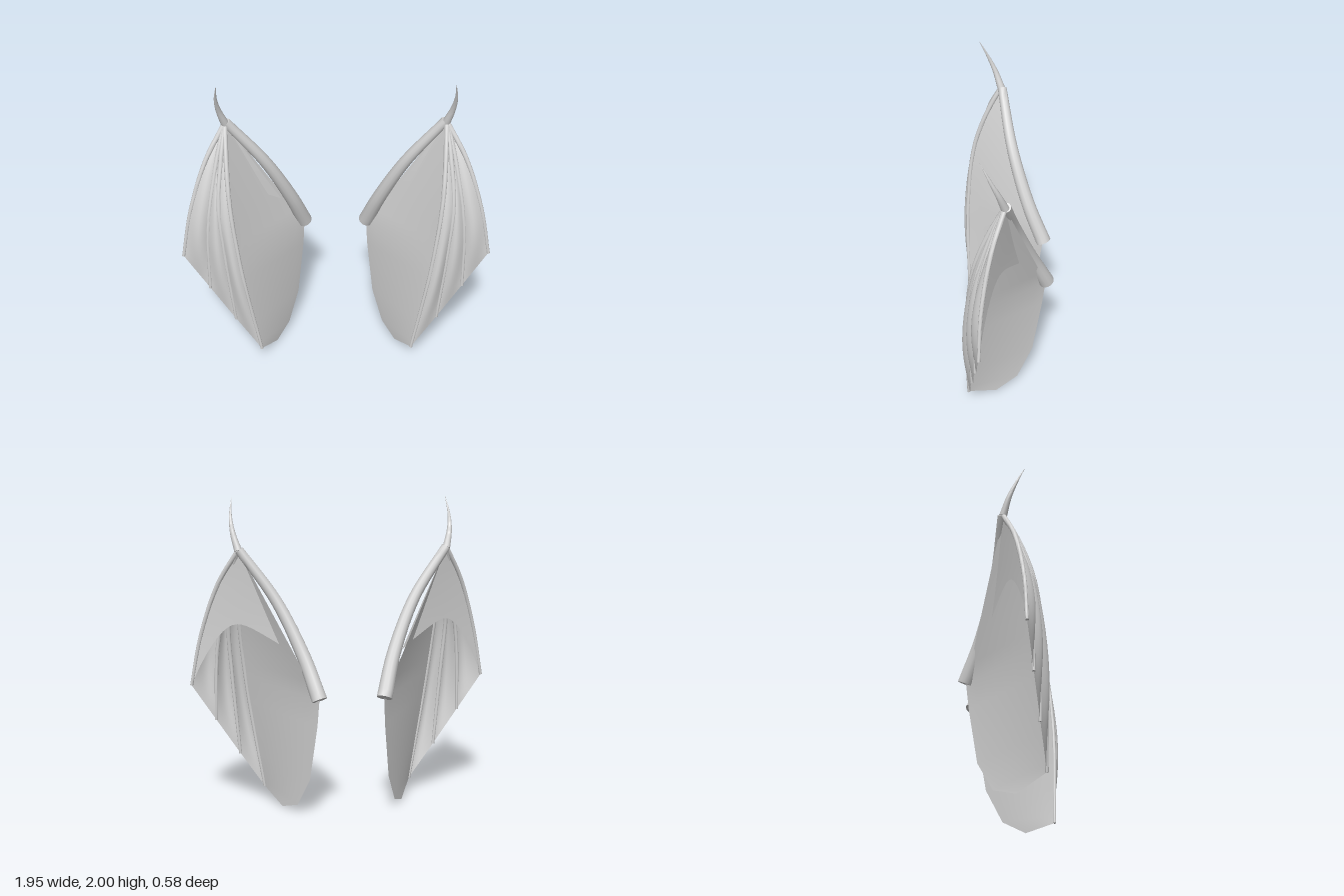
import * as THREE from 'three';
import { toCreasedNormals } from 'three/addons/utils/BufferGeometryUtils.js';

const skin = new THREE.MeshStandardMaterial({ color: 0xd2d2d2, side: THREE.DoubleSide });
skin.name = 'pale grey wing skin';

// Round bone along a curve, radius set by a rule, closed at both ends.
function bone(curve, radiusAt, rings = 24, sides = 12) {
  const geo = new THREE.TubeGeometry(curve, rings, 1, sides, false);
  const pos = geo.attributes.position;
  const p = new THREE.Vector3(), c = new THREE.Vector3();
  const frames = curve.computeFrenetFrames(rings, false);
  for (let i = 0; i <= rings; i++) {
    const t = THREE.MathUtils.clamp((i - 1) / (rings - 2), 0, 1);
    const r = i === 0 || i === rings ? 0.0002 : radiusAt(t);
    curve.getPointAt(t, c);
    for (let j = 0; j <= sides; j++) {
      const a = (j / sides) * Math.PI * 2;
      p.copy(c)
        .addScaledVector(frames.normals[i], -Math.cos(a) * r)
        .addScaledVector(frames.binormals[i], Math.sin(a) * r);
      pos.setXYZ(i * (sides + 1) + j, p.x, p.y, p.z);
    }
  }
  return toCreasedNormals(geo, Math.PI / 3.2);
}

// Sheet of skin: at(u, v) gives each point of a grid.
function sheet(at, nu, nv) {
  const verts = [], index = [];
  for (let i = 0; i <= nv; i++)
    for (let j = 0; j <= nu; j++) verts.push(...at(j / nu, i / nv).toArray());
  for (let i = 0; i < nv; i++)
    for (let j = 0; j < nu; j++) {
      const a = i * (nu + 1) + j, b = a + nu + 1;
      index.push(a, b, a + 1, b, b + 1, a + 1);
    }
  const geo = new THREE.BufferGeometry();
  geo.setAttribute('position', new THREE.Float32BufferAttribute(verts, 3));
  geo.setIndex(index);
  geo.computeVertexNormals();
  return geo;
}

const WRIST = [0.665, 1.685, 0.03];
const FINGERS = [
  [WRIST, [0.79, 1.465, 0.11], [0.9, 1.135, 0.17], [0.965, 0.81, 0.19]],
  [WRIST, [0.71, 1.52, 0.095], [0.765, 1.24, 0.175], [0.797, 1.0, 0.205], [0.81, 0.57, 0.215]],
  [WRIST, [0.69, 1.52, 0.105], [0.72, 1.18, 0.21], [0.7, 0.86, 0.24], [0.655, 0.33, 0.24]],
  [WRIST, [0.662, 1.5, 0.125], [0.652, 1.23, 0.215], [0.6, 0.75, 0.265], [0.495, 0.09, 0.265]],
];
const ARM = [[0.205, 0.775, -0.24], [0.287, 1.035, -0.135], [0.44, 1.37, -0.035], [0.66, 1.685, 0.025]];
const CLAW = [[0.665, 1.68, 0.03], [0.694, 1.79, 0.068], [0.702, 1.89, 0.113], [0.69, 2.0, 0.165]];
const LOBE = [[0.215, 0.6, -0.215], [0.255, 0.24, -0.155], [0.32, 0.05, -0.055], [0.4, 0, 0.085]];
const WEB_EDGE = [WRIST, [0.465, 1.28, -0.045], [0.35, 1.05, -0.095]];

function buildWing(side) {
  const wing = new THREE.Group();
  const vec = ([x, y, z]) => new THREE.Vector3(x * side, y, z);
  const curveOf = (pts) => new THREE.CatmullRomCurve3(pts.map(vec));
  const add = (name, geo) => {
    const mesh = new THREE.Mesh(geo, skin);
    mesh.name = name;
    wing.add(mesh);
  };

  // Arm, claw and fingers
  add('armBone', bone(curveOf(ARM), (t) => 0.05 - 0.021 * t));
  add('wristClaw', bone(curveOf(CLAW), (t) => 0.024 * (1 - t) + 0.001));
  const fingers = FINGERS.map(curveOf);
  fingers.forEach((f, i) => add('finger' + (i + 1), bone(f, (t) => 0.016 - 0.006 * t)));

  // Billowing skin between neighbouring fingers, fullest low down, taut at the edge
  for (let i = 0; i < 3; i++) {
    add('fingerMembrane' + (i + 1), sheet((u, v) => {
      const p = fingers[i].getPointAt(v).lerp(fingers[i + 1].getPointAt(v), u);
      p.z += 0.036 * Math.sin(Math.PI * u) * Math.sin(Math.PI * v * v);
      return p;
    }, 8, 20));
  }

  // Broad inner panel: straight to the shoulder, then a rounded lobe
  const wrist = vec(WRIST), shoulder = vec([0.205, 0.77, -0.235]);
  const inner = [];
  for (let k = 0; k <= 8; k++) inner.push(wrist.clone().lerp(shoulder, k / 8));
  inner.push(...LOBE.map(vec));
  const rows = inner.length - 1;
  add('innerPanel', sheet((u, v) => {
    const b = inner[Math.round(v * rows)];
    const t = 1 - b.y / WRIST[1];
    return fingers[3].getPointAt(t).lerp(b, u);
  }, 8, rows));

  // Rear web from the outer finger through the panel, with an arched lower edge
  const webEdge = curveOf(WEB_EDGE);
  add('rearWeb', sheet((u, v) => {
    const t = v * (1 - 0.37 * Math.sin(Math.PI * u ** 0.9) ** 0.8);
    return fingers[0].getPointAt(t).lerp(webEdge.getPointAt(t), u);
  }, 16, 14));

  // Small loose fold where the web passes the panel and meets the arm
  const foldTop = [0.42, 1.16, -0.08], foldLow = [0.385, 1.07, -0.09], foldTip = [0.29, 0.93, -0.165];
  add('webFold', sheet((u, v) => vec(foldTop).lerp(vec(foldLow), u).lerp(vec(foldTip), v), 2, 4));
  return wing;
}

export function createModel() {
  const model = new THREE.Group();
  model.name = 'wings';
  for (const [name, side] of [['leftWing', 1], ['rightWing', -1]]) {
    const wing = buildWing(side);
    wing.name = name;
    model.add(wing);
  }
  return model;
}
